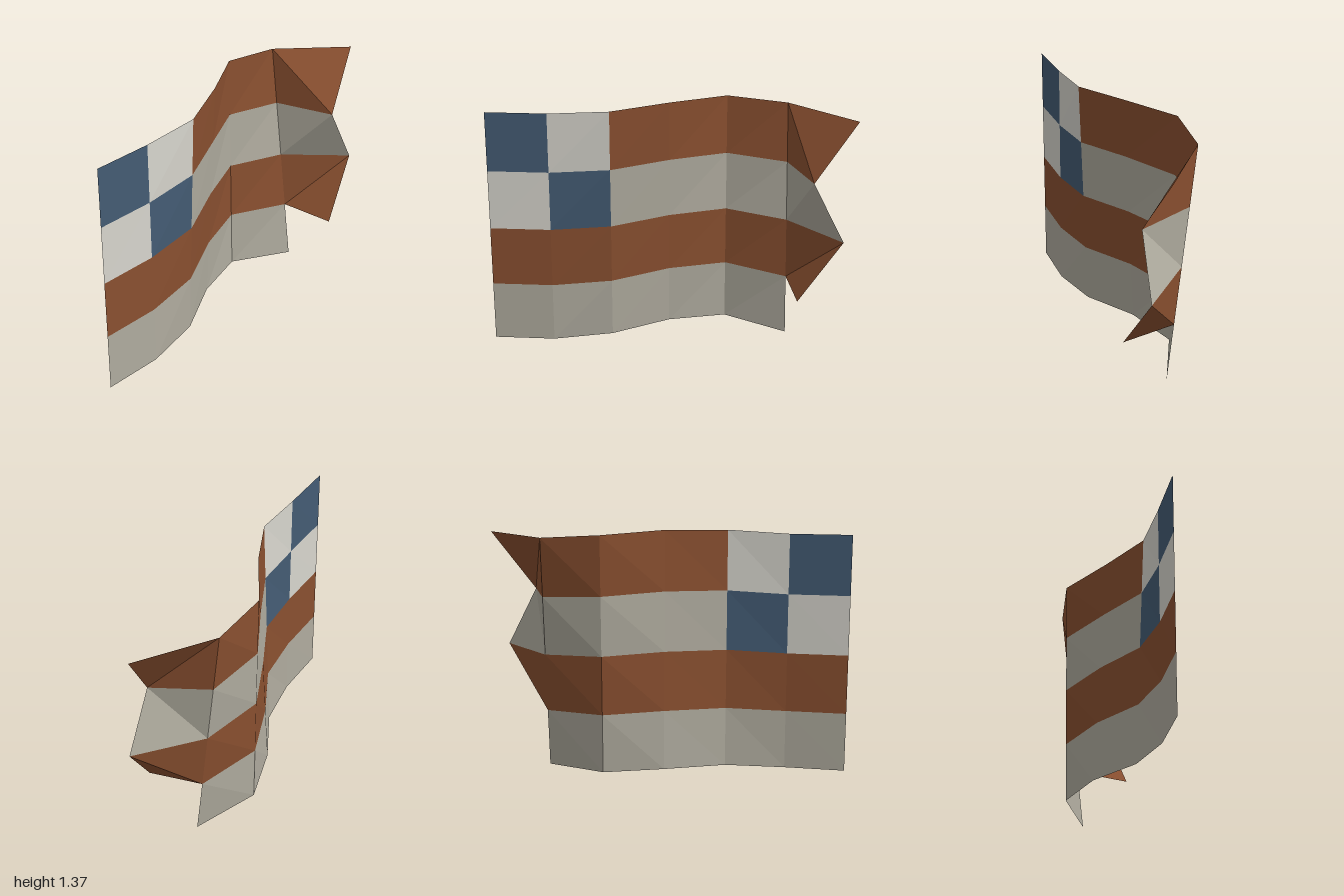
import * as THREE from 'three';

const ROW = 0.333;

// One entry per vertical fold line: x, bottom height, z at the bottom, z at the top
const COLUMNS = [
  [-1, 0.02, -0.045, -0.045],
  [-0.667, 0.015, -0.005, -0.01],
  [-0.333, 0.027, -0.028, 0.02],
  [0, 0.04, -0.16, -0.09],
  [0.333, 0.032, -0.219, -0.24],
  [0.664, 0.002, -0.025, -0.175],
];

// Torn free corners, from the third row line down to the first
const TORN = { 4: [1, 1.31, 0.145], 3: [0.76, 0.98, 0.185], 2: [0.93, 0.645, 0.215], 1: [0.68, 0.315, 0.245] };

function point(column, row) {
  if (column === COLUMNS.length) return TORN[row];
  const [x, y, zBottom, zTop] = COLUMNS[column];
  return [x, y + row * ROW, THREE.MathUtils.lerp(zBottom, zTop, row / 4)];
}

// One cloth cell as two triangles; the crease runs along the chosen diagonal
function cell(column, row, fallingCrease = false) {
  const a = point(column, row), b = point(column + 1, row);
  const c = point(column + 1, row + 1), d = point(column, row + 1);
  const corners = fallingCrease ? [a, b, d, b, c, d] : [a, b, c, a, c, d];
  return corners.flat();
}

function clothMesh(name, material, positions) {
  const geometry = new THREE.BufferGeometry();
  geometry.setAttribute('position', new THREE.Float32BufferAttribute(positions, 3));
  geometry.computeVertexNormals();
  const mesh = new THREE.Mesh(geometry, material);
  mesh.name = name;
  return mesh;
}

function cloth(name, color) {
  return new THREE.MeshStandardMaterial({ name, color, flatShading: true, side: THREE.DoubleSide });
}

export function createModel() {
  const flag = new THREE.Group();
  flag.name = 'flag';
  const brown = cloth('rust brown', 0x8a5030);
  const grey = cloth('stone grey', 0xb0ac9f);
  const white = cloth('off white', 0xd8d6ce);
  const blue = cloth('slate blue', 0x445c74);

  // Four waving stripes; the upper two start after the canton
  for (let row = 0; row < 4; row++) {
    const positions = [];
    for (let column = row < 2 ? 0 : 2; column < 5; column++) positions.push(...cell(column, row));
    flag.add(clothMesh(`stripe${row + 1}`, row % 2 ? brown : grey, positions));
  }

  // Checkered canton
  for (let row = 2; row < 4; row++) {
    for (let column = 0; column < 2; column++) {
      const isBlue = (row + column) % 2 === 1;
      flag.add(clothMesh(`canton${isBlue ? 'Blue' : 'White'}${row}${column}`, isBlue ? blue : white, cell(column, row)));
    }
  }

  // Torn end, missing on the lowest stripe
  for (let row = 1; row < 4; row++) {
    flag.add(clothMesh(`tornEnd${row + 1}`, row % 2 ? brown : grey, cell(5, row, row === 3)));
  }
  return flag;
}
